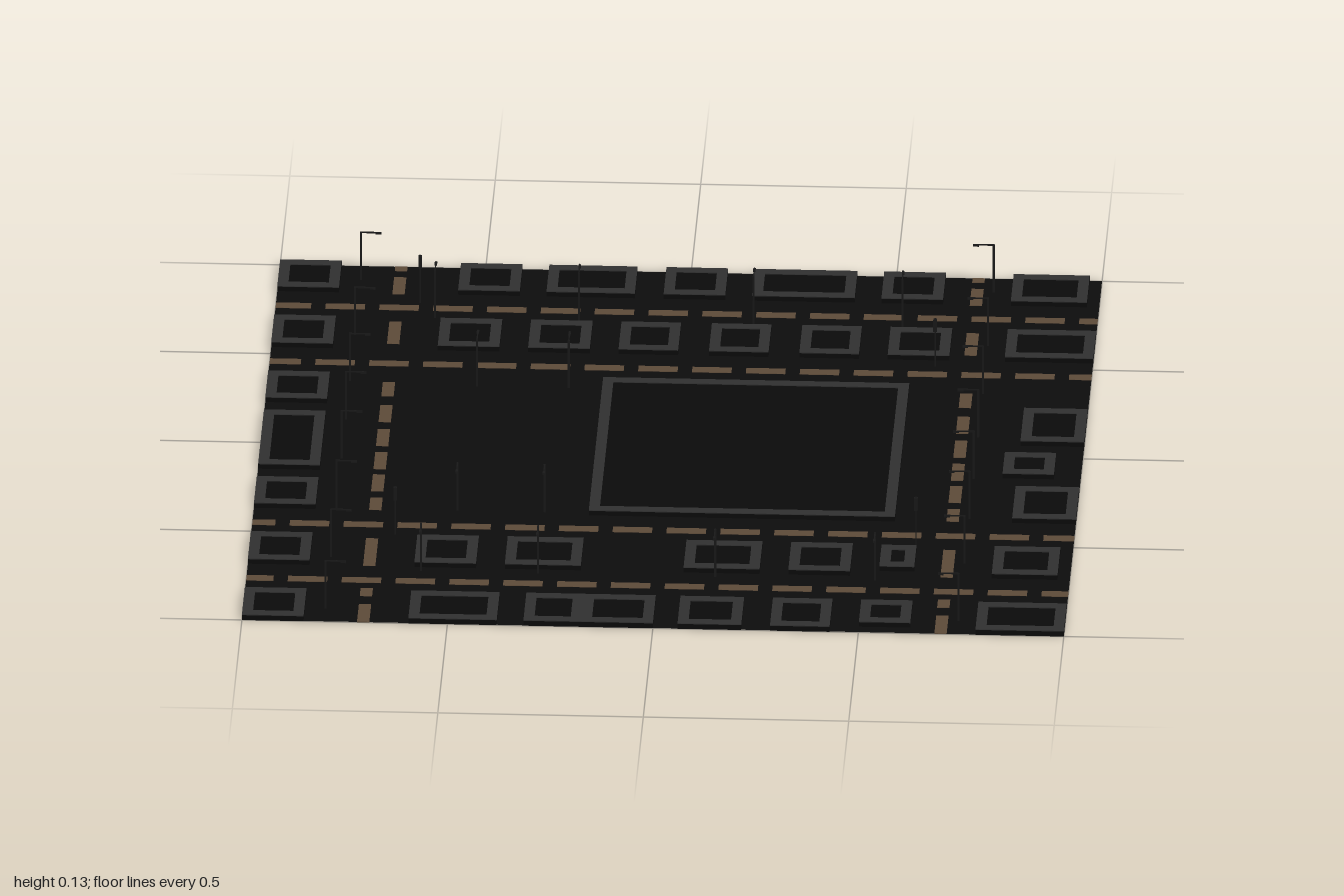
import * as THREE from 'three';

const mat = (color) => new THREE.MeshStandardMaterial({ color });
const asphalt = mat(0x0d0d0d);
asphalt.side = THREE.DoubleSide;
const lotBlack = mat(0x0a0a0a);
const kerbGrey = mat(0x303030);
const paint = mat(0x5c4a38);
const metal = mat(0x181818);

const box = (parent, name, m, w, h, d, x, y, z) => {
  const mesh = new THREE.Mesh(new THREE.BoxGeometry(w, h, d), m);
  mesh.name = name;
  mesh.position.set(x, y, z);
  parent.add(mesh);
  return mesh;
};

// City block: a low slab with a pavement ring around its edge
function cityBlock(x0, x1, z0, z1) {
  const g = new THREE.Group();
  g.name = 'cityBlock';
  const w = x1 - x0, d = z1 - z0, b = 0.026, top = 0.015;
  g.position.set((x0 + x1) / 2, 0, (z0 + z1) / 2);
  box(g, 'blockSlab', lotBlack, w, 0.013, d, 0, 0.0065, 0);
  const rect = (T, a, c) => new T([
    new THREE.Vector2(-a, -c), new THREE.Vector2(a, -c),
    new THREE.Vector2(a, c), new THREE.Vector2(-a, c)]);
  const shape = rect(THREE.Shape, w / 2, d / 2);
  shape.holes.push(rect(THREE.Path, w / 2 - b, d / 2 - b));
  const geo = new THREE.ExtrudeGeometry(shape, { depth: 0.002, bevelEnabled: false });
  geo.rotateX(-Math.PI / 2);
  const ring = new THREE.Mesh(geo, kerbGrey);
  ring.name = 'pavement';
  ring.position.y = top - 0.002;
  g.add(ring);
  return g;
}

// Street lamp: pole, arm along local +x, small lamp at its end
function streetLamp(x, z, turn) {
  const g = new THREE.Group();
  g.name = 'streetLamp';
  box(g, 'lampPole', metal, 0.005, 0.128, 0.005, 0, 0.064, 0);
  box(g, 'lampArm', metal, 0.052, 0.003, 0.003, 0.024, 0.128, 0);
  box(g, 'lampHead', metal, 0.014, 0.004, 0.006, 0.043, 0.126, 0);
  g.position.set(x, 0, z);
  g.rotation.y = turn;
  return g;
}

// Traffic light: thin pole with a box of signals
function trafficLight(x, z) {
  const g = new THREE.Group();
  g.name = 'trafficLight';
  box(g, 'signalPole', metal, 0.003, 0.13, 0.003, 0, 0.065, 0);
  box(g, 'signalHead', metal, 0.009, 0.033, 0.009, 0, 0.111, 0);
  g.position.set(x, 0, z);
  return g;
}

export function createModel() {
  const city = new THREE.Group();
  city.name = 'cityStreets';

  // Ground sheet
  const ground = new THREE.Mesh(new THREE.PlaneGeometry(2, 2), asphalt);
  ground.name = 'ground';
  ground.rotation.x = -Math.PI / 2;
  ground.position.y = 0.001;
  city.add(ground);

  // Blocks in rows running across: depth range, then x spans
  const rows = [
    [-1, -0.85, [[-1, -0.85], [-0.56, -0.41], [-0.345, -0.13], [-0.06, 0.09],
      [0.155, 0.405], [0.47, 0.62], [0.785, 0.97]]],
    [-0.69, -0.535, [[-1, -0.85], [-0.595, -0.445], [-0.375, -0.225], [-0.155, -0.01],
      [0.065, 0.21], [0.285, 0.43], [0.5, 0.65], [0.785, 1]]],
    [0.53, 0.685, [[-1, -0.85], [-0.595, -0.445], [-0.375, -0.19], [0.06, 0.245],
      [0.315, 0.465], [0.81, 0.97]]],
    [0.845, 1, [[-1, -0.85], [-0.595, -0.38], [-0.315, -0.175], [-0.175, 0],
      [0.06, 0.215], [0.285, 0.43], [0.785, 1]]],
  ];
  for (const [z0, z1, spans] of rows)
    for (const [x0, x1] of spans) city.add(cityBlock(x0, x1, z0, z1));

  // Single blocks: the central square, the middle side blocks and small plots
  const singles = [
    [-0.185, 0.56, -0.375, 0.375],
    [-1, -0.85, -0.375, -0.225], [-1, -0.85, -0.155, 0.15], [-1, -0.85, 0.22, 0.37],
    [0.845, 1, -0.25, -0.065], [0.81, 0.935, 0, 0.12], [0.845, 1, 0.19, 0.37],
    [0.535, 0.62, 0.535, 0.655], [0.5, 0.625, 0.845, 0.97],
  ];
  for (const s of singles) city.add(cityBlock(...s));

  // Dashed lines along the four cross streets
  const dashes = new THREE.Group();
  dashes.name = 'laneDashes';
  city.add(dashes);
  const streets = [[-0.77, -1.01], [-0.455, -1.02], [0.452, -1.04], [0.765, -1.03]];
  for (const [z, start] of streets)
    for (let a = start; a < 1; a += 0.131) {
      const x0 = Math.max(a, -1), x1 = Math.min(a + 0.096, 1);
      box(dashes, 'laneDash', paint, x1 - x0, 0.002, 0.03, (x0 + x1) / 2, 0.001, z);
    }

  // Dashed lines along the two avenues, between the crossings
  const avenueDashes = [[-1, -0.975], [-0.94, -0.845], [-0.69, -0.565], [-0.35, -0.27],
    [-0.22, -0.125], [-0.085, 0.01], [0.045, 0.14], [0.17, 0.265], [0.3, 0.37],
    [0.53, 0.685], [0.81, 0.855], [0.9, 1]];
  for (const x of [-0.705, 0.7])
    for (const [z0, z1] of avenueDashes)
      box(dashes, 'laneDash', paint, 0.03, 0.002, z1 - z0, x, 0.001, (z0 + z1) / 2);

  // Lamps along the avenues: x, turn, z positions
  const avenueLamps = [
    [-0.8, 0, [-0.925, -0.615, -0.355, -0.14, 0.08, 0.36, 0.635, 0.925]],
    [0.74, Math.PI, [-0.925, -0.625, -0.355, -0.11, 0.125, 0.35, 0.6, 0.925]],
  ];
  for (const [x, turn, zs] of avenueLamps)
    for (const z of zs) city.add(streetLamp(x, z, turn));

  // Lamps along the streets: z, turn, x positions
  const streetLamps = [
    [-0.72, Math.PI / 2, [-0.61, -0.26, 0.165, 0.527]],
    [-0.34, Math.PI / 2, [-0.49, -0.267]],
    [0.36, -Math.PI / 2, [-0.505, -0.293]],
    [0.705, -Math.PI / 2, [-0.578, -0.293, 0.138, 0.527]],
  ];
  for (const [z, turn, xs] of streetLamps)
    for (const x of xs) city.add(streetLamp(x, z, turn));

  // Traffic lights at the crossings
  for (const [x, z] of [[-0.65, -0.8], [-0.65, 0.503], [0.617, -0.503], [0.617, 0.503]])
    city.add(trafficLight(x, z));

  return city;
}
